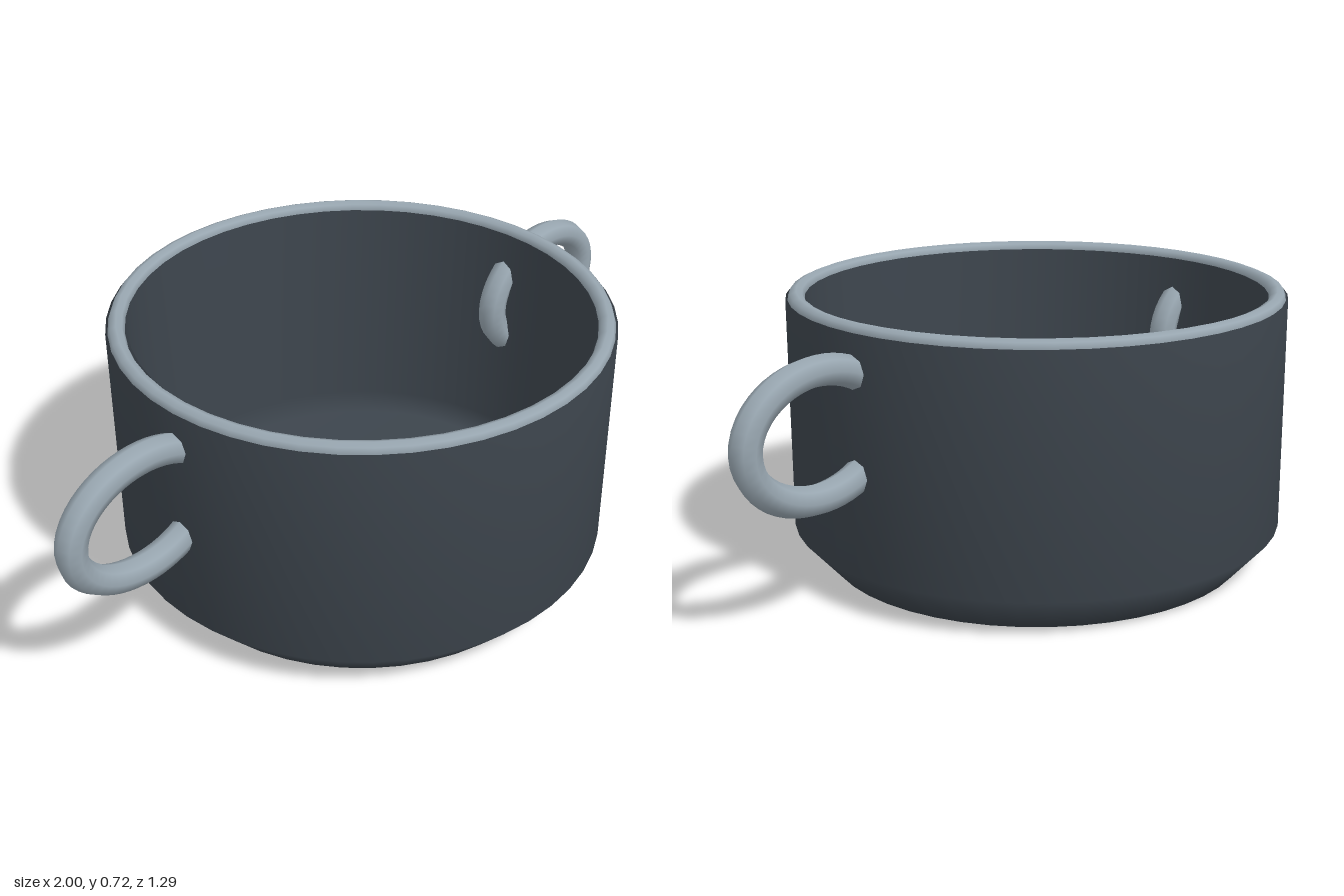
import * as THREE from 'three';

// Closed elliptical loop for a handle
class EllipseLoop extends THREE.Curve {
  constructor(rx, ry) {
    super();
    this.rx = rx;
    this.ry = ry;
  }
  getPoint(t, target = new THREE.Vector3()) {
    const a = t * Math.PI * 2;
    return target.set(this.rx * Math.cos(a), this.ry * Math.sin(a), 0);
  }
}

export function createModel() {
  const pot = new THREE.Group();
  pot.name = 'pot';
  const dark = new THREE.MeshStandardMaterial({ color: 0x3c444c });
  const steel = new THREE.MeshStandardMaterial({ color: 0x98a6b0 });

  const add = (name, geometry, material) => {
    const mesh = new THREE.Mesh(geometry, material);
    mesh.name = name;
    pot.add(mesh);
    return mesh;
  };

  // Hollow body: chamfered foot, straight wall, flat lip, inner wall and floor
  const profile = [
    [0, 0], [0.555, 0], [0.645, 0.1], [0.645, 0.7],
    [0.59, 0.7], [0.58, 0.1], [0.53, 0.06], [0, 0.06],
  ].map(([r, y]) => new THREE.Vector2(r, y));
  add('body', new THREE.LatheGeometry(profile, 48), dark);

  // Rim ring resting on the lip
  const rim = add('rim', new THREE.TorusGeometry(0.618, 0.022, 8, 48), steel);
  rim.rotation.x = Math.PI / 2;
  rim.position.y = 0.699;

  // Oval ring handles passing through the wall on each side
  const handle = new THREE.TubeGeometry(new EllipseLoop(0.207, 0.152), 48, 0.038, 8, true);
  for (const side of [1, -1]) {
    const mesh = add(side > 0 ? 'leftHandle' : 'rightHandle', handle, steel);
    mesh.position.set(side * 0.755, 0.48, 0);
    if (side < 0) mesh.rotation.y = Math.PI;
  }

  return pot;
}
